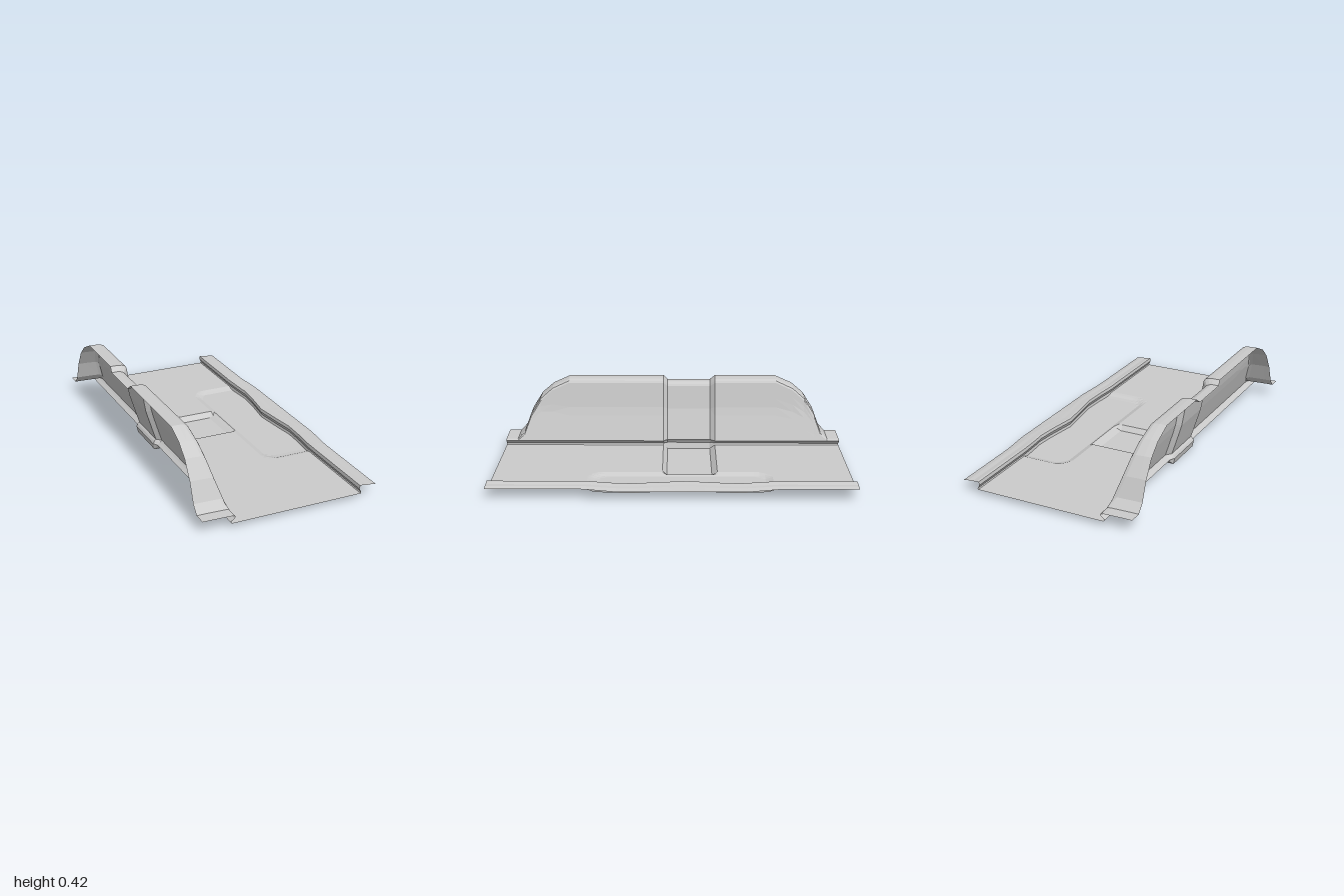
import * as THREE from 'three';

const clamp01 = t => Math.min(1, Math.max(0, t));
const ramp = (a, b, t) => clamp01((t - a) / (b - a));

// piecewise-linear lookup through [input, output] pairs
function lookup(pairs, t) {
  if (t <= pairs[0][0]) return pairs[0][1];
  for (let i = 1; i < pairs.length; i++) {
    const [a, va] = pairs[i - 1], [b, vb] = pairs[i];
    if (t <= b) return va + (vb - va) * (t - a) / (b - a);
  }
  return pairs[pairs.length - 1][1];
}

// stations along the length, denser where the pressing changes shape
const stations = [-1, -0.97, -0.93, -0.89, -0.85, -0.79, -0.72, -0.62, -0.58, -0.56, -0.54, -0.52, -0.49,
  -0.46, -0.43, -0.4, -0.36, -0.31, -0.28, -0.255, -0.225, -0.18, -0.13, -0.08, -0.03, 0.03, 0.055, 0.1,
  0.15, 0.2, 0.25, 0.3, 0.34, 0.37, 0.4, 0.43, 0.45, 0.47, 0.5, 0.56, 0.62, 0.72, 0.79, 0.85, 0.89, 0.93, 0.97, 1];

// crosswise channel, running through both floor and wall
const channel = z => ramp(-0.255, -0.225, z) * (1 - ramp(0.03, 0.055, z));

// arch height along the length, symmetric front to back
const archHeight = z => lookup([[0.62, 0.42], [0.72, 0.375], [0.79, 0.315], [0.85, 0.22],
  [0.89, 0.115], [0.93, 0.072]], Math.abs(z)) - 0.025 * channel(z);
const wallX = y => lookup([[0.06, -0.322], [0.1, -0.335], [0.24, -0.378], [0.4, -0.405]], y);

// wavy line of the sill step
const stepX = z => lookup([[-0.56, 0.385], [-0.46, 0.393], [-0.36, 0.402], [-0.25, 0.393], [-0.08, 0.37],
  [0.08, 0.388], [0.2, 0.404], [0.32, 0.4], [0.46, 0.385]], z);
const middle = z => ramp(-0.58, -0.4, z) * (1 - ramp(0.3, 0.48, z));

// rounded shallow pan beside the sill
function pan(x, z) {
  const r = 0.1;
  const qx = 0.125 - x + r;
  const qz = Math.abs(z + 0.05) - 0.51 + r;
  const d = Math.hypot(Math.max(qx, 0), Math.max(qz, 0)) + Math.min(Math.max(qx, qz), 0) - r;
  return 1 - ramp(-0.035, 0, d);
}
function floorY(x, z) {
  const c = channel(z) * (1 - ramp(0.1, 0.16, x));
  return 0.027 - Math.max(0.027 * c, 0.014 * pan(x, z));
}

function archSection(z) {
  const h = archHeight(z), c = channel(z);
  const inset = -0.025 * c;
  const shoulder = Math.max(0.062, h - 0.022);
  const top = wallX(shoulder) + inset;
  const pts = [[-0.5 - 0.005 * c, h], [-0.46, h], [top - 0.025, h - 0.003], [top - 0.007, (h + shoulder) / 2]];
  for (let i = 0; i <= 7; i++) {
    const y = shoulder + (0.06 - shoulder) * i / 7;
    pts.push([wallX(y) + inset, y]);
  }
  // tucked-under foot
  pts.push([-0.332 + inset, 0.05], [-0.35 + inset * 0.6, 0.036], [-0.342 + inset * 0.6, floorY(-0.34, z)]);
  return pts;
}

function floorSection(z) {
  const left = -0.342 - 0.015 * channel(z), right = stepX(z) + 0.006;
  const xs = [left, -0.28, -0.22, -0.16, -0.1, -0.04, 0.02, 0.06, 0.1, 0.125, 0.145, 0.16, 0.18,
    0.2, 0.23, 0.26, 0.3, 0.34, right];
  return xs.map(x => [x, floorY(x, z)]);
}

function sillSection(z) {
  const s = stepX(z), m = middle(z);
  const outer = 0.48 + 0.022 * m;
  return [[s + 0.006, floorY(s, z)], [s + 0.009, 0.034 - 0.006 * m], [s - 0.002, 0.054 - 0.004 * m],
    [s + 0.001, 0.073 - 0.006 * m], [s + 0.012, 0.074 - 0.006 * m], [s + 0.04, 0.068 - 0.004 * m],
    [s + 0.065, 0.068 - 0.006 * m], [outer, 0.062 - 0.007 * m]];
}

// skin a sheet through the cross-sections
function sheet(name, section, material) {
  const pos = [], index = [];
  let n = 0;
  stations.forEach(z => {
    const pts = section(z);
    n = pts.length;
    pts.forEach(([x, y]) => pos.push(x, y, z));
  });
  for (let j = 0; j < stations.length - 1; j++) {
    for (let i = 0; i < n - 1; i++) {
      const a = j * n + i, b = a + n;
      index.push(a, b, a + 1, a + 1, b, b + 1);
    }
  }
  const geo = new THREE.BufferGeometry();
  geo.setAttribute('position', new THREE.Float32BufferAttribute(pos, 3));
  geo.setIndex(index);
  geo.computeVertexNormals();
  const mesh = new THREE.Mesh(geo, material);
  mesh.name = name;
  return mesh;
}

export function createModel() {
  const group = new THREE.Group();
  group.name = 'floorPanel';
  const metal = new THREE.MeshStandardMaterial({ color: 0xcccccc, flatShading: true, side: THREE.DoubleSide });
  group.add(
    sheet('archedSideWall', archSection, metal),
    sheet('floorPan', floorSection, metal),
    sheet('sillFlange', sillSection, metal)
  );
  return group;
}
